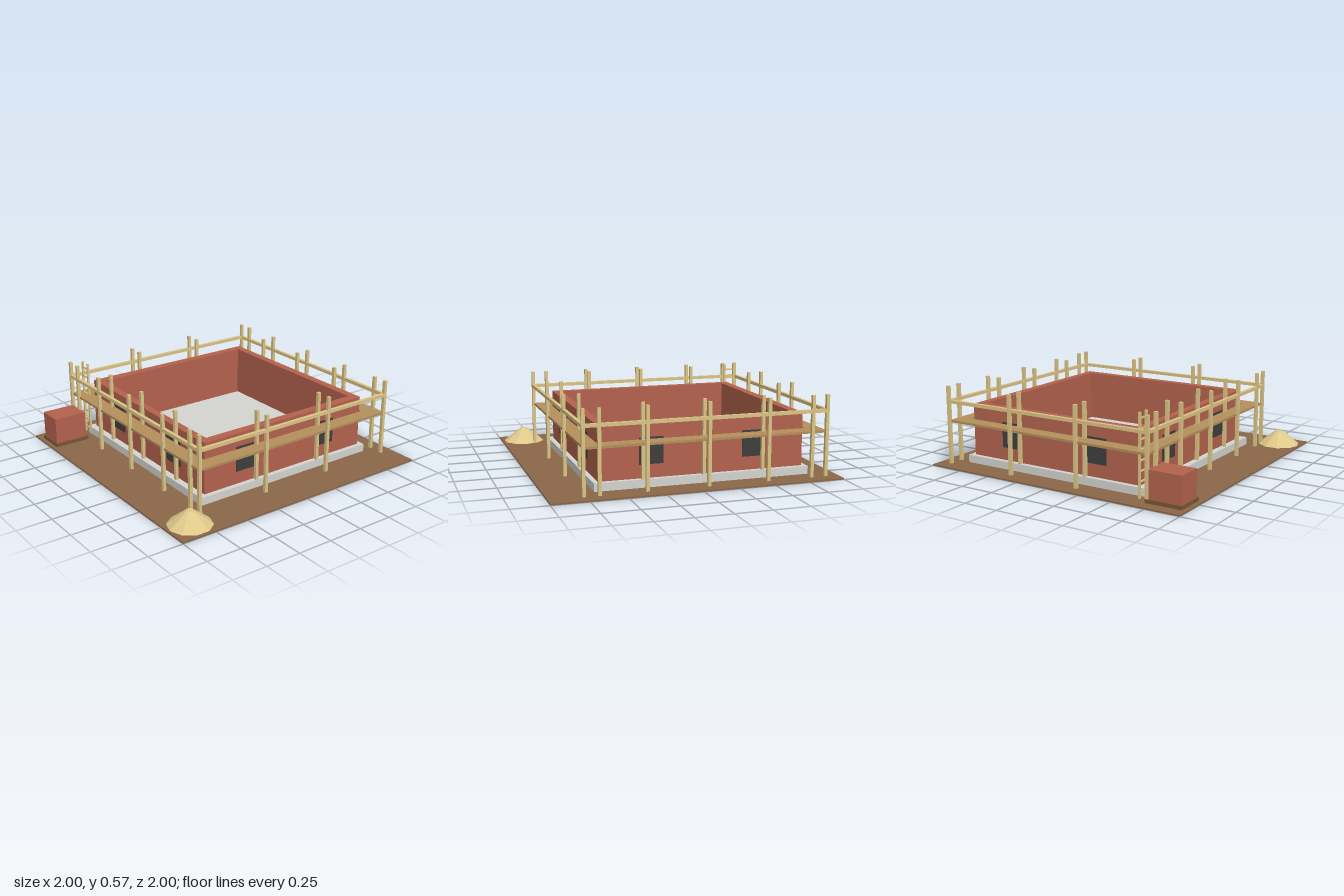
import * as THREE from 'three';

const material = (name, color, extra = {}) => {
  const m = new THREE.MeshStandardMaterial({ color, ...extra });
  m.name = name;
  return m;
};

export function createModel() {
  const model = new THREE.Group();
  model.name = 'buildingSite';

  const soil = material('soil', 0x8a6647);
  const concrete = material('concrete', 0xd3d3cf);
  const brick = material('brick', 0xb3624d);
  const glass = material('darkWindow', 0x3e3e3e);
  const timber = material('timber', 0xdcc486);
  const plank = material('plank', 0xb38f5b);
  const palletWood = material('palletWood', 0x7a5633);
  const sand = material('sand', 0xdfc88a, { flatShading: true });

  const add = (name, geometry, mat, parent = model) => {
    const mesh = new THREE.Mesh(geometry, mat);
    mesh.name = name;
    parent.add(mesh);
    return mesh;
  };

  // Box given by its limits on each axis
  const box = (name, mat, [x0, x1], [y0, y1], [z0, z1], parent) => {
    const mesh = add(name, new THREE.BoxGeometry(x1 - x0, y1 - y0, z1 - z0), mat, parent);
    mesh.position.set((x0 + x1) / 2, (y0 + y1) / 2, (z0 + z1) / 2);
    return mesh;
  };

  // Rectangular ring: outer and inner limits as [x0, x1, z0, z1]
  const ring = (name, mat, outer, inner, y0, y1) => {
    const corners = ([x0, x1, z0, z1]) =>
      [[x0, -z1], [x1, -z1], [x1, -z0], [x0, -z0]].map(([x, y]) => new THREE.Vector2(x, y));
    const shape = new THREE.Shape(corners(outer));
    shape.holes.push(new THREE.Path(corners(inner)));
    const geometry = new THREE.ExtrudeGeometry(shape, { depth: y1 - y0, bevelEnabled: false });
    geometry.rotateX(-Math.PI / 2).translate(0, y0, 0);
    return add(name, geometry, mat);
  };

  // Ground, slab and brick walls
  box('ground', soil, [-1, 1], [0, 0.01], [-1, 1]);
  box('foundationSlab', concrete, [-0.82, 0.682], [0.01, 0.065], [-0.82, 0.637]);
  ring('brickWalls', brick, [-0.786, 0.648, -0.786, 0.589], [-0.724, 0.588, -0.727, 0.533], 0.065, 0.435);

  // Two window plates on each wall
  const windows = new THREE.Group();
  windows.name = 'windows';
  model.add(windows);
  const sill = [0.157, 0.337];
  for (const x of [[-0.51, -0.345], [0.208, 0.373]]) {
    box('frontWindow', glass, x, sill, [0.587, 0.594], windows);
    box('backWindow', glass, x, sill, [-0.791, -0.784], windows);
  }
  for (const z of [[-0.528, -0.373], [0.178, 0.333]]) {
    box('leftWindow', glass, [0.646, 0.653], sill, z, windows);
    box('rightWindow', glass, [-0.791, -0.784], sill, z, windows);
  }

  // Scaffold walkway and guard rail
  ring('walkway', plank, [-0.905, 0.767, -0.905, 0.712], [-0.798, 0.66, -0.798, 0.602], 0.31, 0.326);
  ring('guardRail', timber, [-0.919, 0.782, -0.919, 0.726], [-0.895, 0.758, -0.895, 0.702], 0.45, 0.473);

  // Scaffold poles: front and back rows, then side rows
  const poles = new THREE.Group();
  poles.name = 'scaffoldPoles';
  model.add(poles);
  const pole = (x, z) =>
    box('pole', timber, [x - 0.0115, x + 0.0115], [0.003, 0.57], [z - 0.0115, z + 0.0115], poles);
  for (const x of [-0.487, -0.068, 0.351]) {
    for (const z of [-0.907, -0.805, 0.612, 0.714]) pole(x, z);
  }
  for (const z of [-0.907, -0.367, 0.174, 0.714]) {
    for (const x of [-0.907, -0.803, 0.667, 0.77]) pole(x, z);
  }

  // Ladder up to the walkway
  const ladder = new THREE.Group();
  ladder.name = 'ladder';
  model.add(ladder);
  for (const x of [-0.866, -0.79]) {
    box('ladderRail', timber, [x - 0.007, x + 0.007], [0.01, 0.57], [0.628, 0.642], ladder);
  }
  for (let i = 0; i < 8; i++) {
    const y = 0.05 + i * 0.0685;
    box('ladderRung', timber, [-0.866, -0.79], [y - 0.005, y + 0.005], [0.63, 0.64], ladder);
  }

  // Stack of bricks on a pallet
  box('pallet', palletWood, [-0.92, -0.705], [0.01, 0.035], [0.705, 0.97]);
  box('brickStack', brick, [-0.908, -0.72], [0.035, 0.225], [0.718, 0.962]);

  // Faceted sand heap
  add('sandHeap', new THREE.CylinderGeometry(0.025, 0.152, 0.1, 10), sand).position.set(0.835, 0.06, 0.835);

  return model;
}
